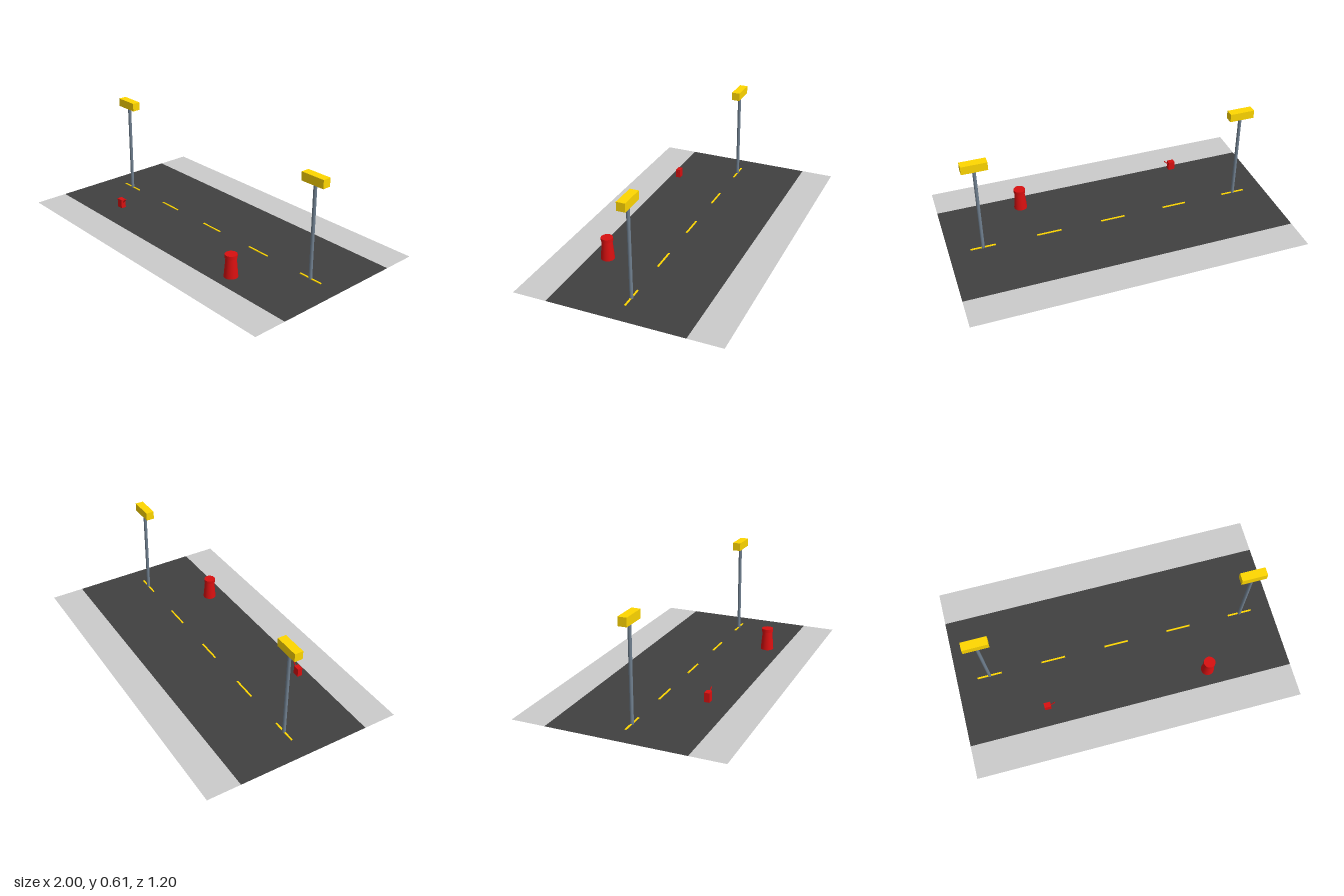
import * as THREE from 'three';

const paint = (color, side = THREE.FrontSide) => new THREE.MeshStandardMaterial({ color, side });

export function createModel() {
  const street = new THREE.Group();
  street.name = 'street';

  const asphalt = paint(0x404040, THREE.DoubleSide);
  const concrete = paint(0xcccccc, THREE.DoubleSide);
  const yellow = paint(0xffd700);
  const steel = paint(0x708090);
  const red = paint(0xd81010);

  const add = (parent, name, geometry, material, x, y, z) => {
    const mesh = new THREE.Mesh(geometry, material);
    mesh.name = name;
    mesh.position.set(x, y, z);
    parent.add(mesh);
    return mesh;
  };
  const group = (name, x, z) => {
    const g = new THREE.Group();
    g.name = name;
    g.position.set(x, 0, z);
    street.add(g);
    return g;
  };
  const flat = (depth) => new THREE.PlaneGeometry(2, depth).rotateX(-Math.PI / 2);

  // Flat road with a pavement strip along each side
  add(street, 'road', flat(0.8), asphalt, 0, 0.002, 0);
  for (const side of [-1, 1]) {
    add(street, side > 0 ? 'frontSidewalk' : 'backSidewalk', flat(0.2), concrete, 0, 0.002, side * 0.5);
  }

  // Lane dashes, slightly thicker than the road sheet
  for (let i = -2; i <= 2; i++) {
    add(street, 'laneDash', new THREE.BoxGeometry(0.15, 0.006, 0.01), yellow, i * 0.4, 0.003, 0);
  }

  // Street lamps
  for (const side of [-1, 1]) {
    const lamp = group(side > 0 ? 'leftStreetLamp' : 'rightStreetLamp', side * 0.8, 0);
    add(lamp, 'lampPole', new THREE.CylinderGeometry(0.01, 0.01, 0.556, 16), steel, 0, 0.28, 0);
    add(lamp, 'lampHead', new THREE.BoxGeometry(0.15, 0.05, 0.05), yellow, 0, 0.582, 0);
  }

  // Hydrant: tapered body with a wider cap
  const hydrant = group('hydrant', 0.5, 0.3);
  add(hydrant, 'hydrantBody', new THREE.CylinderGeometry(0.03, 0.04, 0.118, 32), red, 0, 0.06, 0);
  add(hydrant, 'hydrantCap', new THREE.CylinderGeometry(0.035, 0.035, 0.02, 32), red, 0, 0.127, 0);

  // Mailbox with a tilted flag
  const mailbox = group('mailbox', -0.5, 0.3);
  add(mailbox, 'mailboxBody', new THREE.BoxGeometry(0.04, 0.054, 0.03), red, 0, 0.085, 0);
  const flag = add(mailbox, 'mailboxFlag', new THREE.CylinderGeometry(0.003, 0.003, 0.05, 12), red, 0.028, 0.104, 0);
  flag.rotation.z = -Math.PI / 4;

  return street;
}
